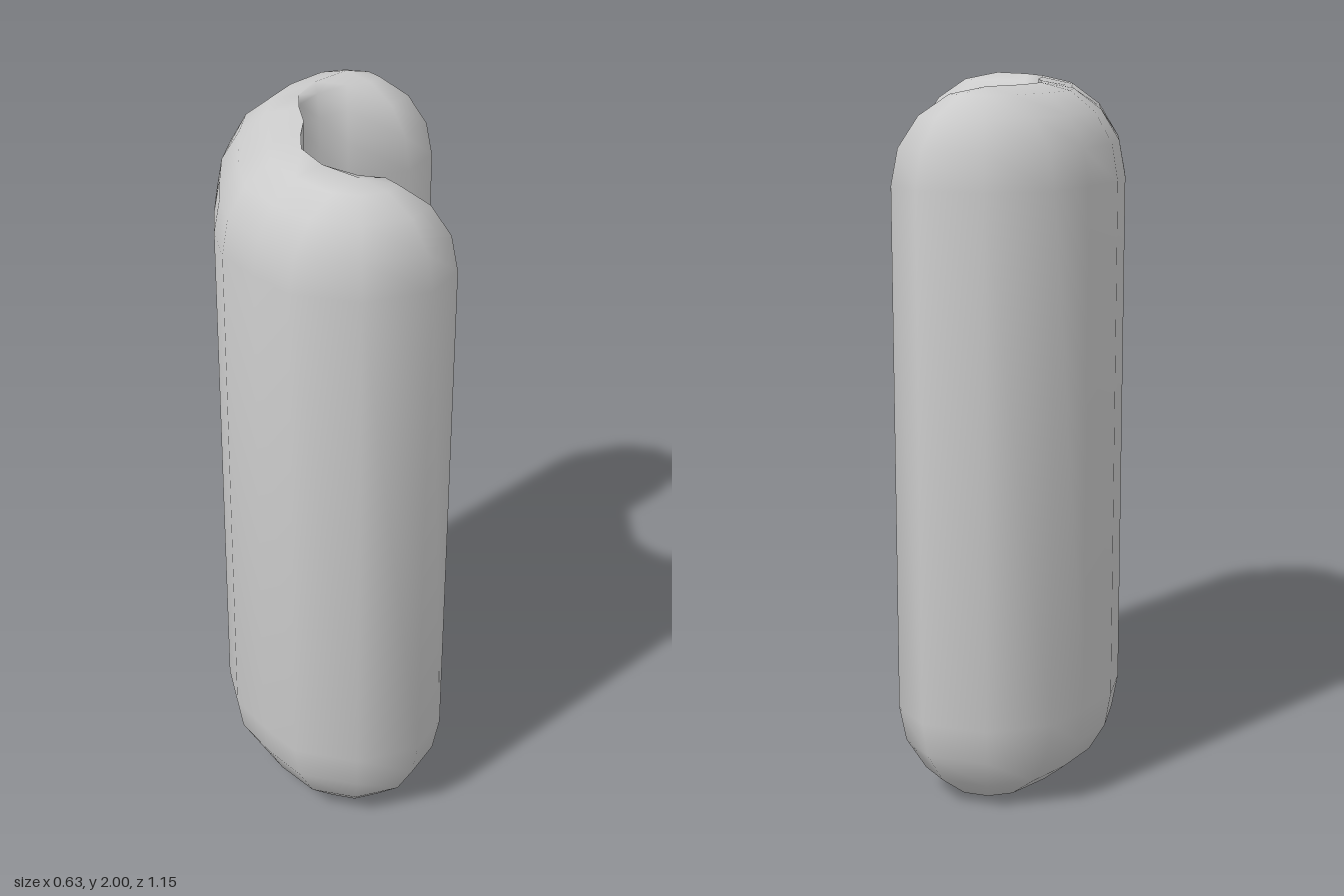
import * as THREE from 'three';
import { toCreasedNormals } from 'three/addons/utils/BufferGeometryUtils.js';

// Half of the C-shaped plan: outline x, z and the ridge point x, z it rounds over to
const HALF = [
  [-0.318, 0, -0.07, 0], // outer middle of the web
  [-0.315, -0.14, -0.08, -0.1],
  [-0.29, -0.285, -0.08, -0.2],
  [-0.21, -0.41, -0.03, -0.31],
  [-0.12, -0.52, 0.06, -0.4],
  [0.06, -0.573, 0.06, -0.4],
  [0.24, -0.52, 0.06, -0.4],
  [0.315, -0.4, 0.06, -0.4], // tip of the arm
  [0.24, -0.28, 0.06, -0.4],
  [0.06, -0.23, 0.06, -0.4],
  [-0.02, -0.19, -0.03, -0.31],
  [-0.08, -0.14, -0.08, -0.2],
  [-0.08, -0.1, -0.08, -0.1],
  [-0.07, 0, -0.07, 0], // inner middle of the web
];
const ROUND = 0.26, HEIGHT = 2, STEPS = 4;

export function createModel() {
  const mirrored = HALF.slice(1, -1).reverse().map(([x, z, rx, rz]) => [x, -z, rx, -rz]);
  const outline = [...HALF, ...mirrored];

  // Horizontal cross-sections: quarter-round bottom, straight walls, quarter-round top
  const levels = [];
  for (let i = 0; i <= STEPS; i++) {
    const a = (1 - i / STEPS) * Math.PI / 2;
    levels.push([Math.cos(a), ROUND * (1 - Math.sin(a))]);
  }
  for (let i = 0; i <= STEPS; i++) {
    const a = i / STEPS * Math.PI / 2;
    levels.push([Math.cos(a), HEIGHT - ROUND * (1 - Math.sin(a))]);
  }
  const rings = levels.map(([s, y]) => outline.map(([x, z, rx, rz]) =>
    new THREE.Vector3(rx + (x - rx) * s, y, rz + (z - rz) * s)));

  // Skin the rings, leaving out triangles that collapse on the ridge
  const positions = [];
  const tri = (a, b, c) => {
    const area = b.clone().sub(a).cross(c.clone().sub(a)).length();
    if (area > 1e-6) for (const p of [a, b, c]) positions.push(p.x, p.y, p.z);
  };
  for (let r = 0; r < rings.length - 1; r++) {
    for (let i = 0; i < outline.length; i++) {
      const j = (i + 1) % outline.length;
      const [lo, hi] = [rings[r], rings[r + 1]];
      tri(lo[i], hi[j], lo[j]);
      tri(lo[i], hi[i], hi[j]);
    }
  }
  const geometry = new THREE.BufferGeometry();
  geometry.setAttribute('position', new THREE.Float32BufferAttribute(positions, 3));

  const shell = new THREE.Mesh(
    toCreasedNormals(geometry, 1.25),
    new THREE.MeshStandardMaterial({ color: 0xcccccc }),
  );
  shell.name = 'curvedShell';
  const group = new THREE.Group();
  group.name = 'roundedChannel';
  group.add(shell);
  return group;
}
